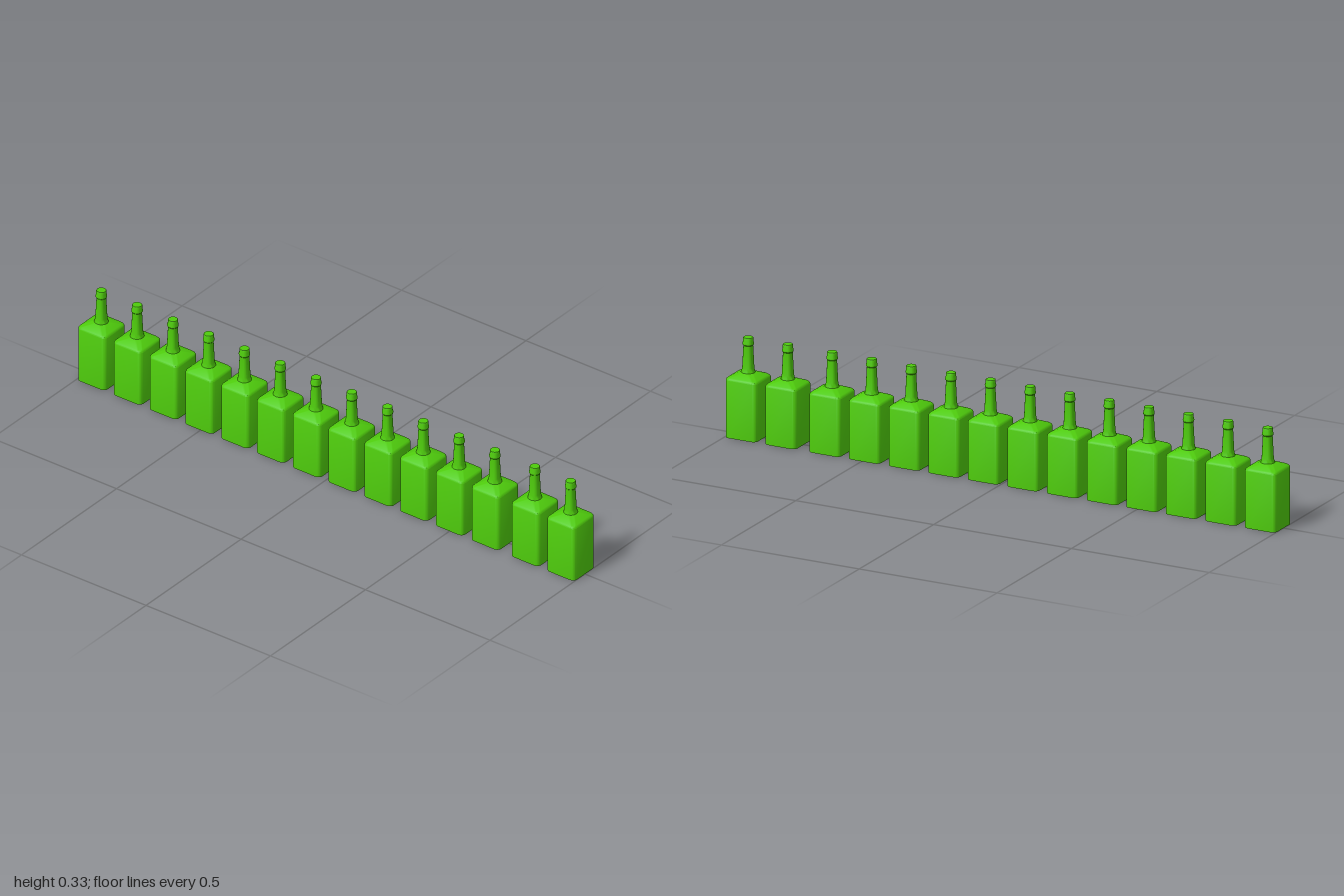
import * as THREE from 'three';
import { toCreasedNormals } from 'three/addons/utils/BufferGeometryUtils.js';

const CORNER_STEPS = 6;

// Rounded-square ring: half width h, corner radius r, height y
function ring(h, r, y) {
  const points = [];
  for (let c = 0; c < 4; c++) {
    const mid = Math.PI / 4 + c * Math.PI / 2;
    const cx = Math.sign(Math.cos(mid)) * (h - r);
    const cz = -Math.sign(Math.sin(mid)) * (h - r);
    for (let i = 0; i <= CORNER_STEPS; i++) {
      const a = (c + i / CORNER_STEPS) * Math.PI / 2;
      points.push([cx + r * Math.cos(a), y, cz - r * Math.sin(a)]);
    }
  }
  return points;
}

// Skin a stack of rings from bottom to top
function loft(sections) {
  const rings = sections.map(s => ring(...s));
  const n = rings[0].length;
  const index = [];
  for (let j = 0; j < rings.length - 1; j++) {
    for (let i = 0; i < n; i++) {
      const a = j * n + i, b = j * n + (i + 1) % n;
      index.push(a, b, b + n, a, b + n, a + n);
    }
  }
  const geometry = new THREE.BufferGeometry();
  geometry.setAttribute('position', new THREE.Float32BufferAttribute(rings.flat(2), 3));
  geometry.setIndex(index);
  return toCreasedNormals(geometry, 0.5);
}

export function createModel() {
  const model = new THREE.Group();
  model.name = 'bottleRow';
  const glass = new THREE.MeshStandardMaterial({ color: 0x4ecb0c });

  // Square body with a shoulder that closes in to the round neck
  const bodyGeometry = loft([
    [0, 0, 0],
    [0.0575, 0.017, 0],
    [0.0575, 0.017, 0.193],
    [0.056, 0.017, 0.197],
    [0.052, 0.018, 0.201],
    [0.023, 0.023, 0.214],
  ]);

  // Tapered neck with a lip, closed at the top
  const profile = [
    [0.023, 0.214], [0.0215, 0.219], [0.0195, 0.23], [0.0175, 0.27],
    [0.0158, 0.304], [0.0182, 0.307], [0.0185, 0.312], [0.0165, 0.319],
    [0.0165, 0.329], [0.0155, 0.331], [0, 0.331],
  ].map(p => new THREE.Vector2(...p));
  const neckGeometry = toCreasedNormals(new THREE.LatheGeometry(profile, 24), 0.6);

  // Fourteen bottles, with a slightly wider gap before the last two
  for (let i = 0; i < 14; i++) {
    const bottle = new THREE.Group();
    bottle.name = `bottle${i + 1}`;
    const body = new THREE.Mesh(bodyGeometry, glass);
    body.name = 'body';
    const neck = new THREE.Mesh(neckGeometry, glass);
    neck.name = 'neck';
    bottle.add(body, neck);
    bottle.position.x = -0.9425 + i * 0.1437 + (i > 11 ? 0.0169 : 0);
    model.add(bottle);
  }
  return model;
}
